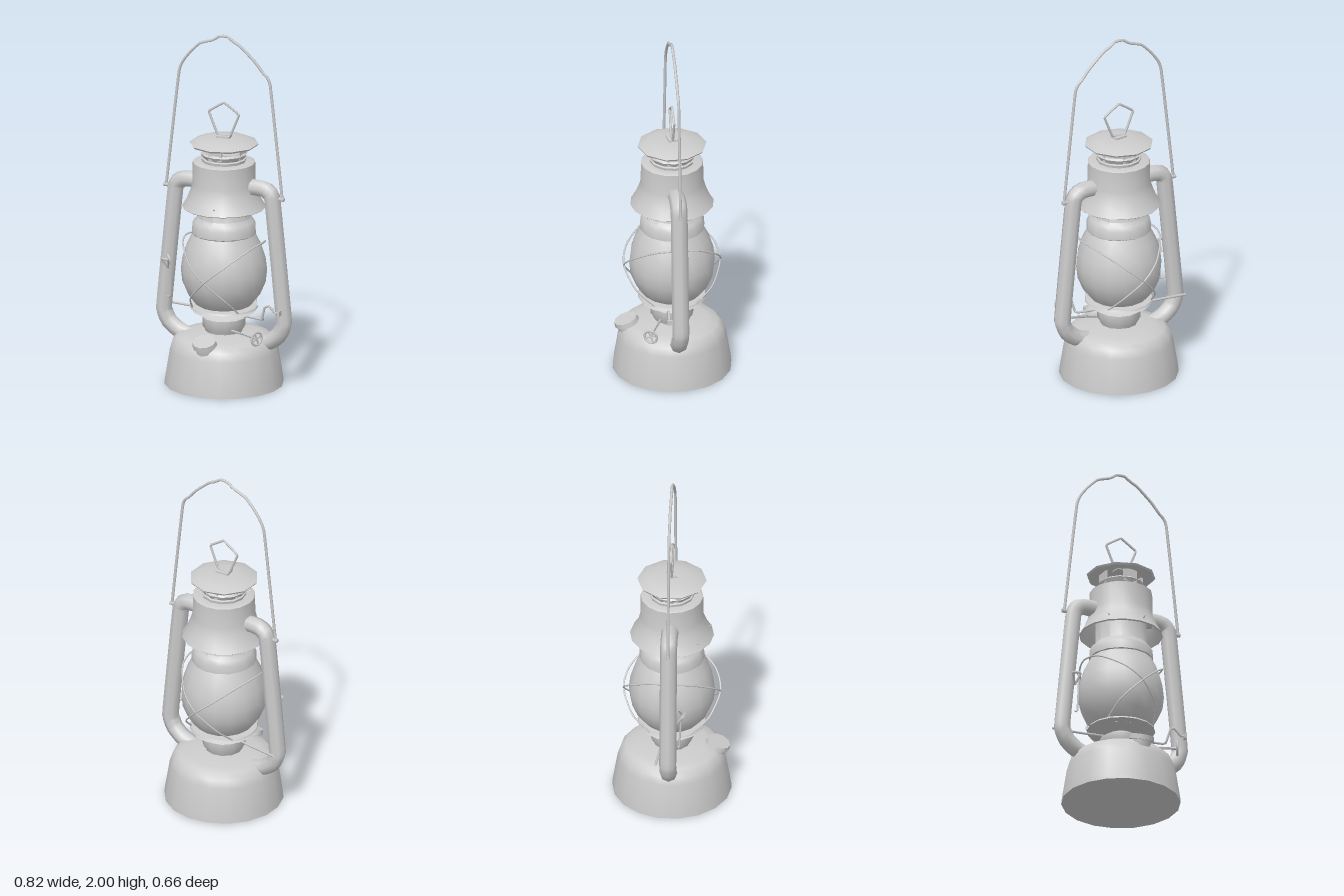
import * as THREE from 'three';
import { toCreasedNormals } from 'three/addons/utils/BufferGeometryUtils.js';

const metal = new THREE.MeshStandardMaterial({ color: 0xcccccc, side: THREE.DoubleSide });

export function createModel() {
  const lantern = new THREE.Group();

  const add = (name, geometry, parent = lantern) => {
    const mesh = new THREE.Mesh(geometry, metal);
    mesh.name = name;
    parent.add(mesh);
    return mesh;
  };
  // Turned part from [radius, height] pairs, bottom to top
  const turned = (name, profile, sides = 18, crease = 0.8) => add(name, toCreasedNormals(
    new THREE.LatheGeometry(profile.map(([r, y]) => new THREE.Vector2(r, y)), sides), crease));
  // Round bar through points; a low tension keeps corners tight
  const bar = (name, points, radius, sides = 5, steps = 40, tension = 0.2, closed = false) => {
    const path = new THREE.CatmullRomCurve3(
      points.map((p) => new THREE.Vector3(...p)), closed, 'catmullrom', tension);
    return add(name, new THREE.TubeGeometry(path, steps, radius, sides, closed));
  };

  // Fuel tank, burner and globe
  turned('fuelTank', [[0, 0], [0.33, 0], [0.327, 0.03], [0.3, 0.2], [0.285, 0.245],
    [0.255, 0.275], [0.2, 0.285], [0.1, 0.3], [0, 0.3]]);
  turned('burner', [[0.1, 0.28], [0.105, 0.31], [0.12, 0.33], [0.12, 0.38], [0.08, 0.4], [0.08, 0.42]], 12);
  turned('globePlate', [[0, 0.405], [0.14, 0.405], [0.175, 0.415], [0.155, 0.425], [0.19, 0.435],
    [0.185, 0.445], [0.13, 0.45]], 16);
  turned('globe', [[0.13, 0.44], [0.16, 0.46], [0.2, 0.51], [0.23, 0.58], [0.238, 0.65],
    [0.23, 0.72], [0.205, 0.8], [0.175, 0.86]], 16);

  // Collar, hood and chimney
  turned('globeCollar', [[0.16, 0.855], [0.18, 0.865], [0.178, 0.91], [0.165, 0.935],
    [0.145, 0.955], [0.142, 1.1]], 14);
  turned('hood', [[0.225, 1.01], [0.232, 1.015], [0.205, 1.06], [0.185, 1.11], [0.175, 1.15],
    [0.173, 1.27], [0.16, 1.277], [0.11, 1.275]], 16);
  turned('chimneyRing', [[0.12, 1.265], [0.125, 1.29], [0.115, 1.295], [0.13, 1.32],
    [0.12, 1.33], [0.09, 1.32]], 12);
  for (let i = 0; i < 4; i++) {
    const post = add('chimneyPost', new THREE.BoxGeometry(0.08, 0.09, 0.012));
    const angle = i * Math.PI / 2;
    post.position.set(Math.sin(angle) * 0.11, 1.345, Math.cos(angle) * 0.11);
    post.rotation.y = angle;
  }
  turned('chimneyCap', [[0.1, 1.385], [0.13, 1.37], [0.185, 1.368], [0.192, 1.378], [0.14, 1.402],
    [0.08, 1.41], [0, 1.412]], 10);

  // Lifting ring with its foot
  bar('liftingRing', [[-0.03, 1.42, 0], [-0.04, 1.425, 0], [-0.092, 1.55, 0], [0, 1.61, 0],
    [0.092, 1.55, 0], [0.04, 1.425, 0]], 0.007, 5, 60, 0.04, true);
  const foot = add('ringFoot', new THREE.BoxGeometry(0.075, 0.016, 0.055));
  foot.position.y = 1.413;
  foot.rotation.y = 0.15;

  for (const s of [-1, 1]) {
    // Side air tubes
    bar('sideTube', [[0.13, 1.14], [0.2, 1.145], [0.25, 1.14], [0.283, 1.115], [0.297, 1.06],
      [0.361, 0.43], [0.36, 0.37], [0.335, 0.315], [0.28, 0.27], [0.2, 0.24]]
      .map(([x, y]) => [s * x, y, 0]), 0.047, 8, 44, 0.3);

    // Crossed guard wire, front to back around each side
    const half = [[-0.14, 0.44, 0.11], [-0.105, 0.53, 0.21], [0, 0.64, 0.268],
      [0.1, 0.725, 0.235], [0.195, 0.805, 0.12]];
    const back = half.map(([x, y, z]) => [x, y, -z]).reverse();
    bar('guardWire', [...half, [0.225, 0.825, 0], ...back].map(([x, y, z]) => [s * x, y, z]),
      0.005, 5, 50, 0.4);

    // Bail pivots
    const pivot = add('bailPivot', new THREE.CylinderGeometry(0.012, 0.012, 0.07, 6));
    pivot.rotation.z = Math.PI / 2;
    pivot.position.set(s * 0.33, 1.095, 0);
  }

  // Carrying bail
  bar('bail', [[-0.352, 1.085, 0], [-0.272, 1.76, 0], [-0.215, 1.865, 0], [-0.145, 1.935, 0],
    [-0.065, 1.962, 0], [-0.025, 1.99, 0], [0.025, 1.99, 0], [0.055, 1.967, 0], [0.1, 1.945, 0],
    [0.19, 1.865, 0], [0.235, 1.81, 0], [0.28, 1.745, 0], [0.355, 1.085, 0]], 0.008, 6, 80, 0.2);

  // Globe lifting lever with its hooked end
  bar('globeLever', [[-0.39, 0.4, -0.065], [-0.2, 0.4, -0.045], [0.24, 0.4, 0.03],
    [0.255, 0.41, 0.05], [0.275, 0.48, 0.06], [0.3, 0.492, 0.06], [0.34, 0.455, 0.06],
    [0.37, 0.458, 0.06]], 0.007, 5, 60, 0.15);
  add('leverTip', new THREE.BoxGeometry(0.01, 0.03, 0.03)).position.set(0.365, 0.458, 0.06);

  // Wick knob: shaft, wire wheel and spokes
  bar('wickShaft', [[0.07, 0.325, 0.07], [0.27, 0.325, 0.155]], 0.008, 5, 1);
  const knob = new THREE.Group();
  knob.name = 'wickKnob';
  knob.position.set(0.27, 0.325, 0.155);
  knob.rotation.y = 1.1;
  lantern.add(knob);
  add('knobRim', new THREE.TorusGeometry(0.037, 0.007, 5, 10), knob);
  for (const turn of [0, Math.PI / 2]) {
    add('knobSpoke', new THREE.BoxGeometry(0.07, 0.009, 0.007), knob).rotation.z = turn + 0.4;
  }

  // Latch on the right tube
  bar('latchWire', [[-0.315, 0.47, 0.055], [-0.3, 0.475, 0.06], [-0.295, 0.68, 0.07],
    [-0.315, 0.71, 0.06]], 0.006, 5, 24, 0.15);
  bar('latchLoop', [[-0.34, 0.69, 0.085], [-0.295, 0.69, 0.095], [-0.312, 0.63, 0.05]],
    0.007, 5, 24, 0.05, true);

  // Filler neck and cap, tilted forward
  const filler = new THREE.Group();
  filler.name = 'filler';
  filler.position.set(0, 0.265, 0.245);
  filler.rotation.x = 0.35;
  lantern.add(filler);
  add('fillerNeck', new THREE.CylinderGeometry(0.055, 0.06, 0.07, 10), filler).position.y = -0.02;
  add('fillerCap', new THREE.CylinderGeometry(0.066, 0.07, 0.028, 10), filler).position.y = 0.028;

  // Small prongs on the hood skirt
  for (const angle of [0.17, -0.78]) {
    const prong = add('hoodProng', new THREE.ConeGeometry(0.01, 0.035, 4));
    prong.position.set(Math.sin(angle) * 0.21, 1.05, Math.cos(angle) * 0.21);
    prong.rotation.set(1, angle, 0, 'YXZ');
  }

  return lantern;
}
